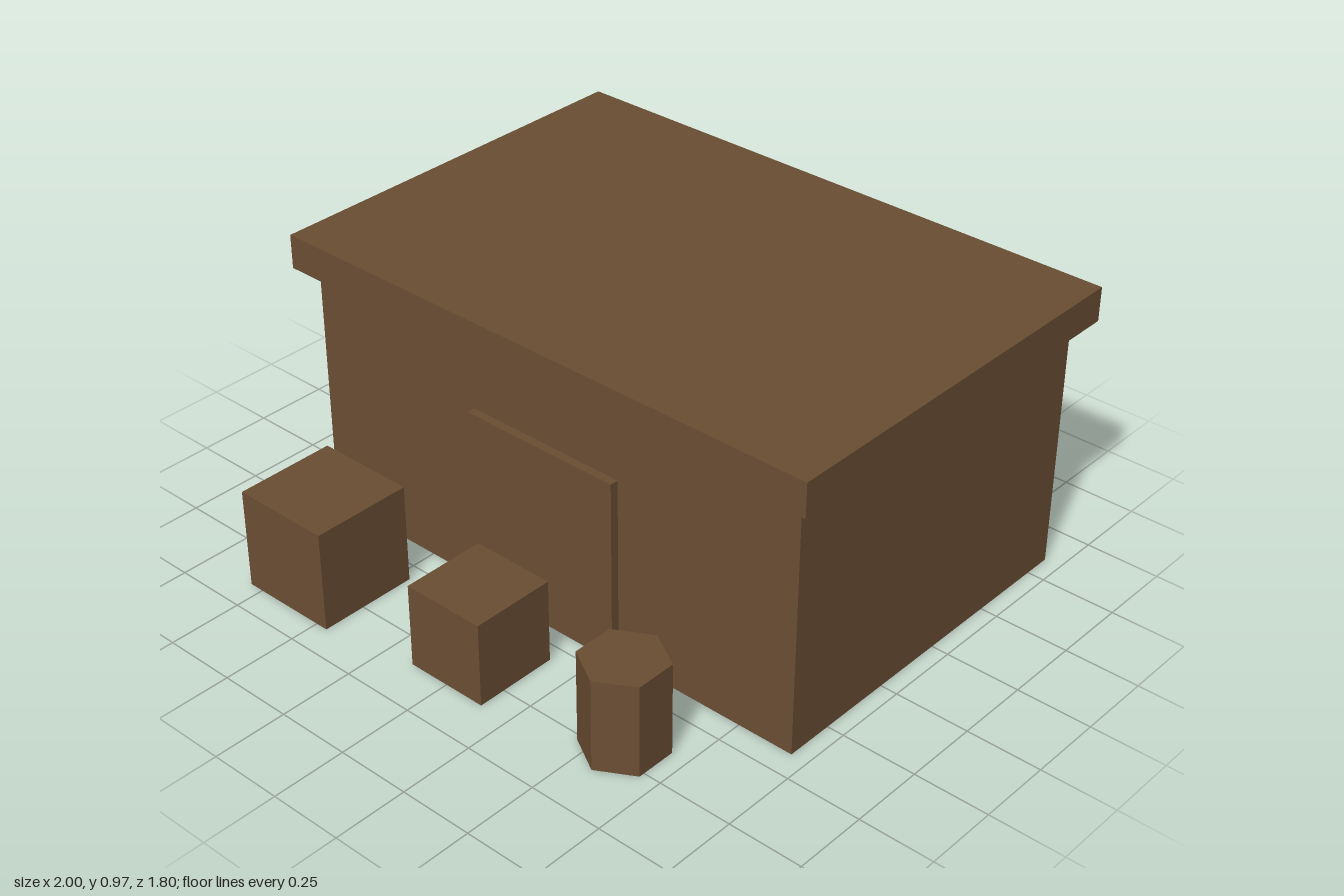
import * as THREE from 'three';

export function createModel() {
  const group = new THREE.Group();
  const brown = new THREE.MeshStandardMaterial({ color: 0x6b4e34, flatShading: true });
  brown.name = 'brown wood';

  function add(name, geometry, x, y, z) {
    const mesh = new THREE.Mesh(geometry, brown);
    mesh.name = name;
    mesh.position.set(x, y, z);
    group.add(mesh);
  }

  // Box with its base at height y
  function box(name, w, h, d, x, y, z) {
    add(name, new THREE.BoxGeometry(w, h, d), x, y + h / 2, z);
  }

  // Building with an overhanging flat roof and a raised door
  box('walls', 1.886, 0.86, 1.256, 0, 0, -0.215);
  box('roof', 2, 0.114, 1.37, 0, 0.86, -0.215);
  box('door', 0.572, 0.63, 0.057, 0, 0, 0.413);

  // Goods standing in front
  box('largeCrate', 0.343, 0.343, 0.343, -0.629, 0, 0.7285);
  box('smallCrate', 0.286, 0.286, 0.286, 0, 0, 0.7);
  add('barrel', new THREE.CylinderGeometry(0.137, 0.137, 0.315, 6), 0.571, 0.1575, 0.7);

  return group;
}
